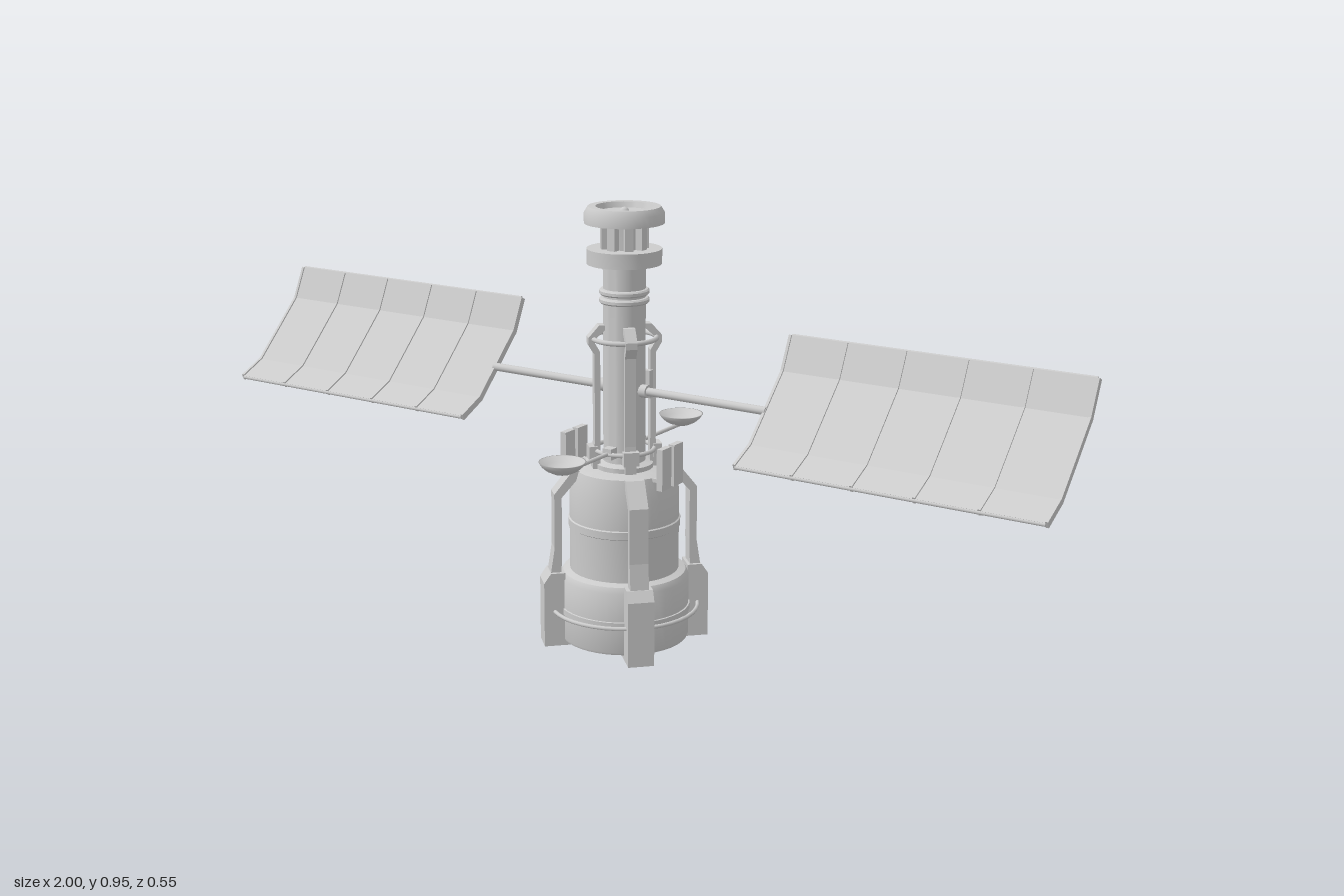
import * as THREE from 'three';
import { toCreasedNormals } from 'three/addons/utils/BufferGeometryUtils.js';

const material = new THREE.MeshStandardMaterial({ color: 0xcccccc, side: THREE.DoubleSide });
const V = (p) => p.map(([x, y]) => new THREE.Vector2(x, y));

export function createModel() {
  const root = new THREE.Group();

  function add(name, geometry, x = 0, y = 0, z = 0, parent = root) {
    const mesh = new THREE.Mesh(geometry, material);
    mesh.name = name;
    mesh.position.set(x, y, z);
    parent.add(mesh);
    return mesh;
  }
  const lathe = (name, profile, segments = 40) =>
    add(name, toCreasedNormals(new THREE.LatheGeometry(V(profile), segments), 0.6));
  const box = (name, w, h, d, x, y, z, parent) => add(name, new THREE.BoxGeometry(w, h, d), x, y, z, parent);
  function hoop(name, radius, tube, y) {
    add(name, new THREE.TorusGeometry(radius, tube, 8, 40).rotateX(Math.PI / 2), 0, y, 0);
  }
  // Outline extruded to a width centred on its plane
  const slab = (points, width) =>
    new THREE.ExtrudeGeometry(new THREE.Shape(V(points)), { depth: width, bevelEnabled: false })
      .translate(0, 0, -width / 2);
  // Thickens an open polyline into a closed outline
  function thicken(points, t) {
    const sides = [1, -1].map((s) => points.map(([x, y], i) => {
      const a = points[Math.max(i - 1, 0)], b = points[Math.min(i + 1, points.length - 1)];
      const dx = b[0] - a[0], dy = b[1] - a[1], l = Math.hypot(dx, dy);
      return [x - (dy / l) * s * t / 2, y + (dx / l) * s * t / 2];
    }));
    return [...sides[0], ...sides[1].reverse()];
  }

  // Main body
  lathe('body', [
    [0, 0.01], [0.138, 0.01], [0.14, 0.015], [0.14, 0.148], [0.133, 0.16], [0.118, 0.165],
    [0.118, 0.26], [0.121, 0.262], [0.121, 0.278], [0.118, 0.28],
    [0.118, 0.34], [0.105, 0.388], [0.1, 0.39], [0, 0.39],
  ]);
  hoop('baseHandrail', 0.16, 0.0045, 0.078);
  lathe('baseBand', [[0.139, 0.07], [0.143, 0.071], [0.143, 0.084], [0.139, 0.085]]);

  // Neck with collars
  lathe('neck', [
    [0.062, 0.39], [0.062, 0.4], [0.045, 0.405], [0.045, 0.83],
  ]);
  for (const y of [0.753, 0.771]) {
    lathe('neckCollar', [
      [0.044, y - 0.007], [0.05, y - 0.006], [0.053, y - 0.003],
      [0.053, y + 0.003], [0.05, y + 0.006], [0.044, y + 0.007],
    ]);
  }
  hoop('upperHoop', 0.068, 0.0055, 0.672);
  hoop('lowerHoop', 0.064, 0.005, 0.43);

  // Head: lower ring, open cage and recessed cap
  lathe('headRing', [[0.03, 0.83], [0.079, 0.83], [0.079, 0.862], [0.03, 0.862]]);
  lathe('headCore', [[0.035, 0.86], [0.035, 0.918]]);
  lathe('headCap', [
    [0, 0.915], [0.084, 0.915], [0.084, 0.937], [0.076, 0.95],
    [0.06, 0.95], [0.055, 0.938], [0, 0.934],
  ]);
  add('capStud', new THREE.SphereGeometry(0.011, 14, 10), 0, 0.937, 0);

  // Diagonal parts repeated around the axis
  for (let i = 0; i < 4; i++) {
    const quarter = new THREE.Group();
    quarter.name = 'diagonalSupport';
    quarter.rotation.y = Math.PI / 4 + (i * Math.PI) / 2;
    root.add(quarter);
    // Lower leg block with foot tucked under the body
    add('leg', slab([
      [0.115, 0], [0.181, 0], [0.181, 0.143], [0.166, 0.165],
      [0.135, 0.165], [0.135, 0.012], [0.115, 0.012],
    ], 0.056), 0, 0, 0, quarter);
    // Stand-off rail up to the shoulder
    add('bodyRail', slab([
      [0.142, 0.15], [0.166, 0.155], [0.156, 0.22], [0.156, 0.34], [0.116, 0.39],
      [0.1, 0.39], [0.1, 0.378], [0.14, 0.332], [0.14, 0.22],
    ], 0.04), 0, 0, 0, quarter);
    // Neck rail with bent upper and lower ends
    add('neckRail', slab([
      [0.07, 0.39], [0.07, 0.41], [0.066, 0.45], [0.066, 0.64], [0.079, 0.662], [0.079, 0.676],
      [0.056, 0.702], [0.043, 0.702], [0.043, 0.692], [0.068, 0.669],
      [0.054, 0.645], [0.054, 0.39],
    ], 0.024), 0, 0, 0, quarter);
    box('railFoot', 0.018, 0.03, 0.034, 0.07, 0.425, 0, quarter);
    for (const a of [0, Math.PI / 4]) {
      const post = new THREE.Group();
      post.name = 'cagePost';
      post.rotation.y = a;
      quarter.add(post);
      box('post', 0.02, 0.056, 0.018, 0.04, 0.889, 0, post);
    }
  }

  // Dish antennas at front and back
  for (const s of [1, -1]) {
    add('antennaArm', new THREE.CylinderGeometry(0.0045, 0.0045, 0.19, 10).rotateX(Math.PI / 2),
      0, 0.431, s * 0.135);
    box('armSocket', 0.022, 0.024, 0.022, 0, 0.431, s * 0.056);
    const bowl = V([
      [0, 0.43], [0.02, 0.431], [0.034, 0.438], [0.043, 0.446], [0.049, 0.455],
      [0.046, 0.455], [0.034, 0.446], [0.02, 0.44], [0, 0.438],
    ]);
    add('antennaDish', new THREE.LatheGeometry(bowl, 32), 0, 0, s * 0.228);
  }

  // Curved section of the solar wings, as (-z, y)
  const section = [[-0.121, 0.473], [-0.058, 0.502], [0.005, 0.564], [0.07, 0.629], [0.103, 0.699]];
  const wingSheet = (x, width, thickness) =>
    slab(thicken(section, thickness), width).rotateY(Math.PI / 2).translate(x, 0, 0);

  for (const s of [1, -1]) {
    const side = s > 0 ? 'left' : 'right';
    const wing = new THREE.Group();
    wing.name = side + 'Wing';
    root.add(wing);
    add('solarPanel', wingSheet(s * 0.67, 0.656, 0.008), 0, 0, 0, wing);
    for (const x of [0.343, 0.472, 0.602, 0.734, 0.866, 0.997]) {
      add('panelRib', wingSheet(s * x, 0.006, 0.014), 0, 0, 0, wing);
    }
    // Edge rods along the rims
    for (const [a, y] of [section[0], section[4]]) {
      add('edgeRod', new THREE.CylinderGeometry(0.004, 0.004, 0.65, 8).rotateZ(Math.PI / 2),
        s * 0.67, y, -a, wing);
    }
    // Boom with hub
    add('boom', new THREE.CylinderGeometry(0.009, 0.009, 0.31, 12).rotateZ(Math.PI / 2),
      s * 0.19, 0.562, 0, wing);
    add('boomHub', new THREE.CylinderGeometry(0.014, 0.014, 0.02, 16).rotateZ(Math.PI / 2),
      s * 0.05, 0.562, 0, wing);
    box('neckBox', 0.02, 0.06, 0.013, s * 0.042, 0.572, -0.025, wing);
    // Upright plates beside the shoulder
    for (const z of [0.035, -0.011]) {
      box('shoulderPlate', 0.014, 0.09, 0.035, s * 0.123, 0.412, z);
      box('plateBracket', 0.035, 0.008, 0.012, s * 0.105, 0.384, z);
    }
  }
  return root;
}
